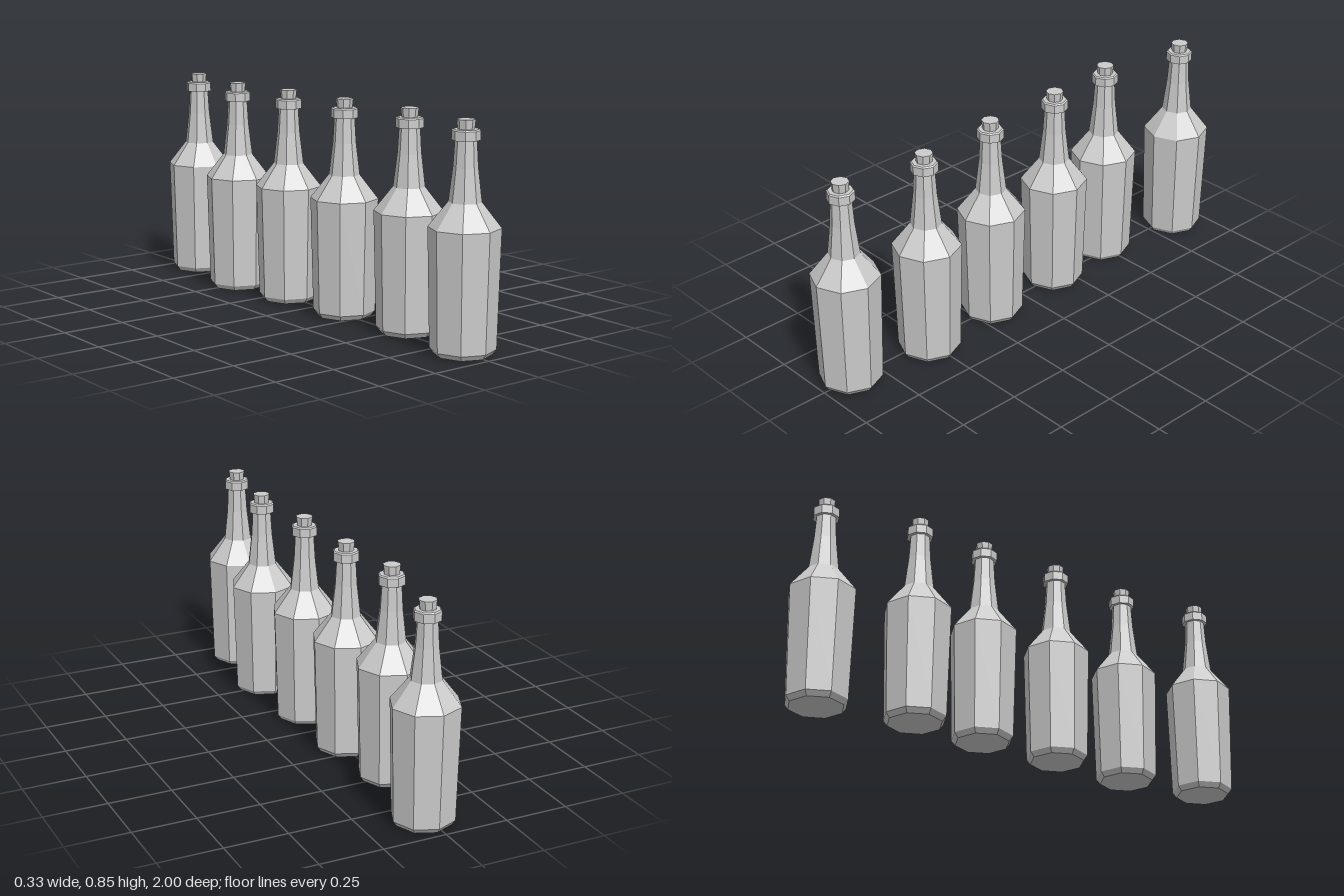
import * as THREE from 'three';

const SIDES = 8;
const material = new THREE.MeshStandardMaterial({ color: 0xcccccc, flatShading: true });

// Faceted solid of revolution from [radius, height] pairs, bottom to top
function lathe(name, profile) {
  const points = profile.map(([r, y]) => new THREE.Vector2(r, y));
  const mesh = new THREE.Mesh(new THREE.LatheGeometry(points, SIDES), material);
  mesh.name = name;
  return mesh;
}

function createBottle() {
  const bottle = new THREE.Group();
  // Chamfered base, slightly flaring body, shoulder and tapering neck
  bottle.add(lathe('glassBody', [
    [0, 0], [0.106, 0], [0.121, 0.02], [0.132, 0.463],
    [0.06, 0.555], [0.045, 0.68], [0.039, 0.78],
  ]));
  // Collar around the mouth
  bottle.add(lathe('lipRing', [
    [0.036, 0.776], [0.052, 0.776], [0.052, 0.81], [0.047, 0.815], [0, 0.815],
  ]));
  // Stopper, a little wider at the top
  bottle.add(lathe('stopper', [[0.03, 0.812], [0.034, 0.85], [0, 0.85]]));
  return bottle;
}

export function createModel() {
  const model = new THREE.Group();
  model.name = 'bottleRow';
  // Uneven row along z: [x, z] of each bottle
  const places = [
    [-0.005, 0.868], [0.035, 0.515], [0.006, 0.164],
    [-0.005, -0.183], [-0.036, -0.493], [0.022, -0.868],
  ];
  places.forEach(([x, z], i) => {
    const bottle = createBottle();
    bottle.name = `bottle${i + 1}`;
    bottle.position.set(x, 0, z);
    model.add(bottle);
  });
  return model;
}
